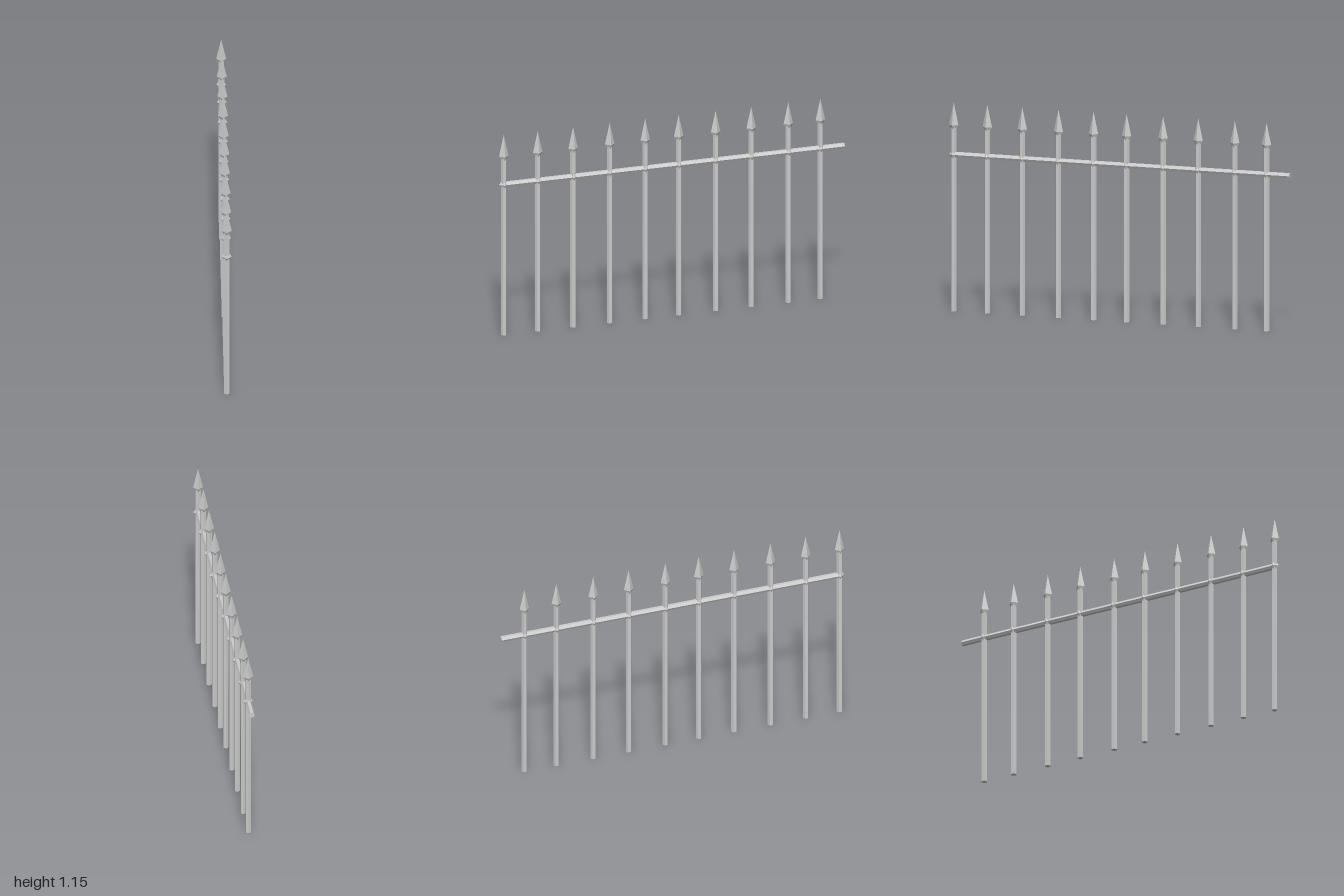
import * as THREE from 'three';

export function createModel() {
  const fence = new THREE.Group();
  fence.name = 'spikedFence';
  const metal = new THREE.MeshStandardMaterial({ color: 0xcccccc, flatShading: true });
  const railY = 0.866;

  // Six-sided bars: the posts have a corner on z, the rail has corners on x
  const postGeo = new THREE.CylinderGeometry(0.0165, 0.0165, 1.02, 6).translate(0, 0.51, 0);
  const railLength = 1.975;
  const railGeo = new THREE.CylinderGeometry(0.0165, 0.0165, railLength, 6)
    .rotateY(Math.PI / 2)
    .rotateX(Math.PI / 2);

  // Four-sided turned pieces with corners on the axes
  const turned = (points) =>
    new THREE.LatheGeometry(points.map(([r, y]) => new THREE.Vector2(r, y)), 4);
  const headGeo = turned([[0, 1.003], [0.013, 1.003], [0.0275, 1.03], [0, 1.153]]);
  const collarGeo = turned([
    [0, railY - 0.023], [0.013, railY - 0.023], [0.027, railY],
    [0.01, railY + 0.027], [0, railY + 0.027],
  ]);

  const add = (parent, name, geometry) => {
    const mesh = new THREE.Mesh(geometry, metal);
    mesh.name = name;
    parent.add(mesh);
    return mesh;
  };

  // Slightly uneven row of pickets
  const spacing = [0.972, 0.775, 0.57, 0.358, 0.152, -0.042, -0.256, -0.462, -0.677, -0.863];
  spacing.forEach((z, i) => {
    const picket = new THREE.Group();
    picket.name = `picket${i + 1}`;
    picket.position.z = z;
    add(picket, 'post', postGeo);
    add(picket, 'spearHead', headGeo);
    add(picket, 'collar', collarGeo);
    fence.add(picket);
  });

  // Rail runs past the last picket at the back
  const rail = add(fence, 'rail', railGeo);
  rail.position.set(0, railY, -1 + railLength / 2);

  return fence;
}
